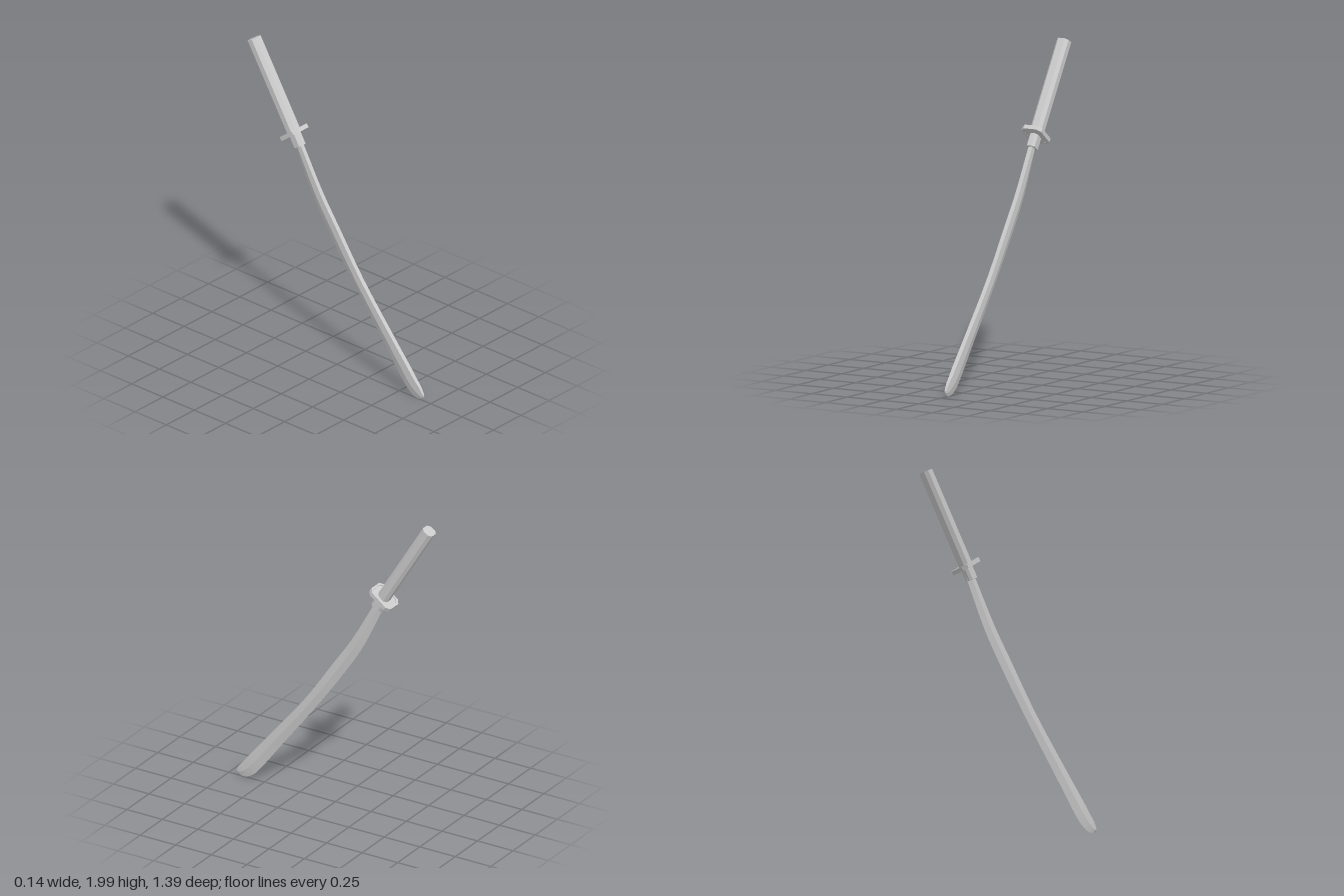
import * as THREE from 'three';
import { toCreasedNormals } from 'three/addons/utils/BufferGeometryUtils.js';

const flat = new THREE.MeshStandardMaterial({ color: 0xcccccc, flatShading: true });
const smooth = new THREE.MeshStandardMaterial({ color: 0xcccccc, side: THREE.DoubleSide });

// Corners of a rectangle with cut corners
function cutRect(w, d, c) {
  const x = w / 2, y = d / 2;
  return [[x, c - y], [x, y - c], [x - c, y], [c - x, y], [-x, y - c], [-x, c - y], [c - x, -y], [x - c, -y]]
    .map(([a, b]) => new THREE.Vector2(a, b));
}

// Eight-sided upright prism from y0 to y1, hollow when rim > 0
function prism(name, w, d, c, y0, y1, rim = 0) {
  const shape = new THREE.Shape(cutRect(w, d, c));
  if (rim) shape.holes.push(new THREE.Path(cutRect(w - 2 * rim, d - 2 * rim, c * 0.8).reverse()));
  const geo = new THREE.ExtrudeGeometry(shape, { depth: y1 - y0, bevelEnabled: false });
  geo.rotateX(-Math.PI / 2).translate(0, y0, 0);
  const mesh = new THREE.Mesh(geo, flat);
  mesh.name = name;
  return mesh;
}

// Curved single-edged blade: five-sided sections between a spine and an edge curve
function makeBlade() {
  const curve = pts => new THREE.CatmullRomCurve3(pts.map(([z, y]) => new THREE.Vector3(0, y, z)));
  const spine = curve([[-0.29, 1.41], [-0.122, 1.116], [0, 0.937], [0.201, 0.646], [0.455, 0.333],
    [0.587, 0.175], [0.635, 0.116], [0.667, 0.079], [0.688, 0.048], [0.698, 0.034]]);
  const edge = curve([[-0.34, 1.38], [-0.19, 1.074], [-0.074, 0.892], [0.132, 0.602], [0.386, 0.27],
    [0.519, 0.095], [0.571, 0.037], [0.624, 0.006], [0.667, 0.003], [0.693, 0.021]]);
  const N = 54, pos = [], idx = [];
  for (let i = 0; i <= N; i++) {
    const t = i / N, s = spine.getPoint(t), e = edge.getPoint(t);
    const r = s.clone().lerp(e, 0.5);
    // thickness fades out over the tip
    const w = 0.0135 * Math.sqrt(Math.min(1, (1 - t) / 0.42) + 1e-6);
    pos.push(-w, s.y, s.z, w, s.y, s.z, w * 1.1, r.y, r.z, 0, e.y, e.z, -w * 1.1, r.y, r.z);
    if (i === N) break;
    for (let k = 0; k < 5; k++) {
      const a = i * 5 + k, b = i * 5 + (k + 1) % 5;
      idx.push(a, a + 5, b, b, a + 5, b + 5);
    }
  }
  const geo = new THREE.BufferGeometry();
  geo.setAttribute('position', new THREE.Float32BufferAttribute(pos, 3));
  geo.setIndex(idx);
  const mesh = new THREE.Mesh(toCreasedNormals(geo, 0.25), smooth);
  mesh.name = 'blade';
  return mesh;
}

export function createModel() {
  const model = new THREE.Group();
  model.name = 'curvedSword';
  model.add(makeBlade());

  // Grip, guard and collar share one leaning axis
  const hilt = new THREE.Group();
  hilt.name = 'hilt';
  hilt.position.set(0, 1.452, -0.341);
  hilt.rotation.x = -0.549;
  hilt.add(prism('grip', 0.08, 0.075, 0.019, 0, 0.615));
  hilt.add(prism('bladeCollar', 0.058, 0.072, 0.014, -0.089, 0));

  // Guard: thin plate inside a slightly raised rim, tipped a little further
  const guard = new THREE.Group();
  guard.name = 'guard';
  guard.rotation.x = -0.12;
  guard.add(prism('guardPlate', 0.13, 0.163, 0.024, -0.012, 0.008));
  guard.add(prism('guardRim', 0.138, 0.172, 0.026, -0.013, 0.013, 0.013));
  hilt.add(guard);

  model.add(hilt);
  return model;
}
